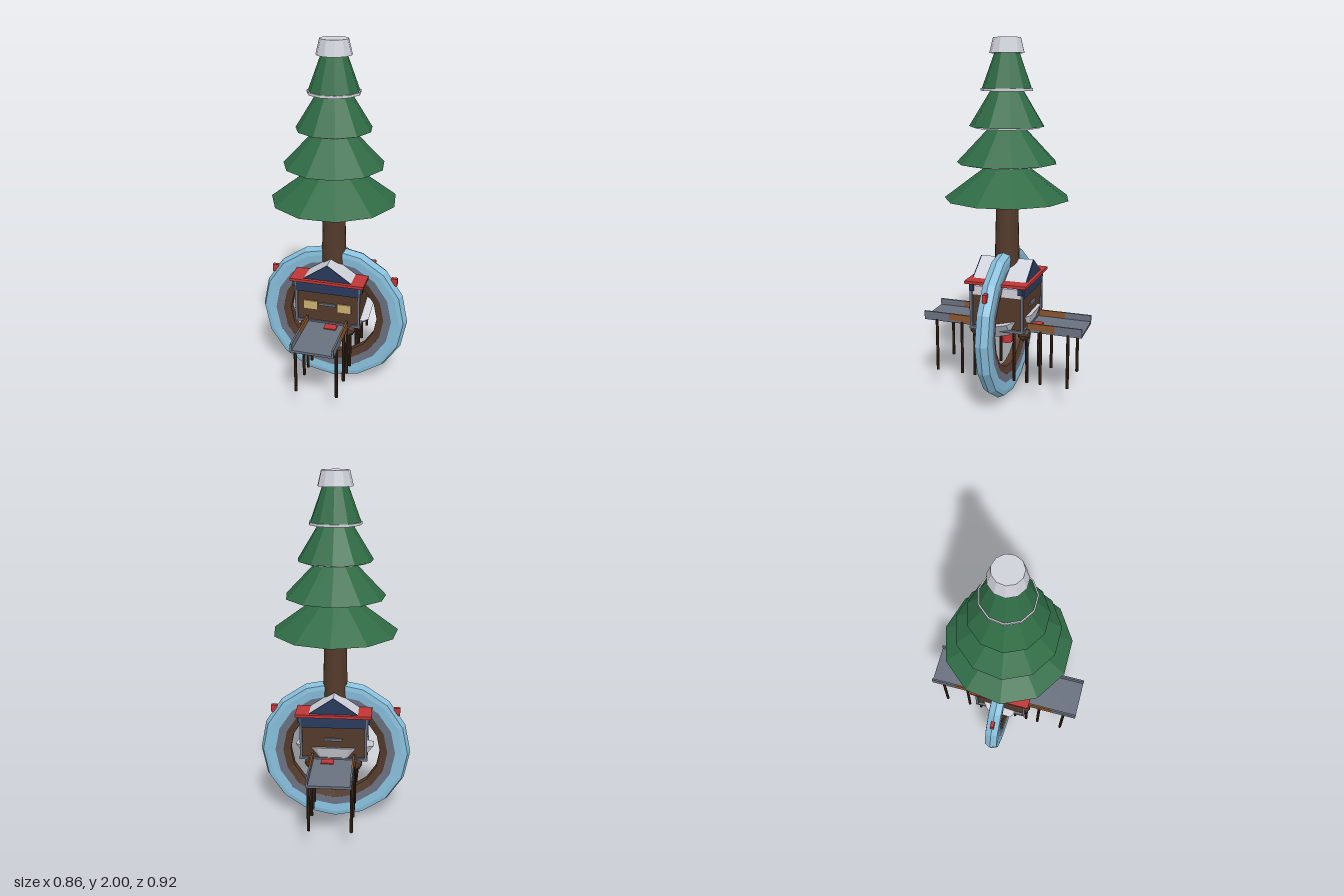
import * as THREE from 'three';

const COLORS = {
  leafGreen: 0x2f6b45, snowWhite: 0xd0d2da, barkBrown: 0x53392a, iceBlue: 0x87bedb, slate: 0x69707f,
  red: 0xc03636, navy: 0x293a5c, windowTan: 0xcdb070, plankBrown: 0x885630, darkBrown: 0x3f2b1e,
};

export function createModel() {
  const root = new THREE.Group();
  const mats = {};
  for (const [name, color] of Object.entries(COLORS)) {
    mats[name] = new THREE.MeshStandardMaterial({ color, flatShading: true });
    mats[name].name = name;
  }
  const add = (name, geo, mat, x = 0, y = 0, z = 0) => {
    const mesh = new THREE.Mesh(geo, mats[mat]);
    mesh.name = name;
    mesh.position.set(x, y, z);
    root.add(mesh);
    return mesh;
  };
  const box = (name, mat, w, h, d, x, y, z) => add(name, new THREE.BoxGeometry(w, h, d), mat, x, y, z);
  // Upright tapered cylinder between two heights
  const cone = (name, mat, rBottom, rTop, y0, y1, sides = 11, x = 0, z = 0) =>
    add(name, new THREE.CylinderGeometry(rTop, rBottom, y1 - y0, sides, 1, false, Math.PI), mat, x, (y0 + y1) / 2, z);

  // Tree: trunk, four foliage tiers, snow layers and cap
  cone('trunk', 'barkBrown', 0.07, 0.06, 0.76, 1.16, 20);
  const tiers = [[0.345, 0.085, 1.15, 1.345], [0.275, 0.09, 1.345, 1.54], [0.205, 0.085, 1.54, 1.735], [0.135, 0.065, 1.74, 1.93]];
  tiers.forEach(([r0, r1, y0, y1]) => cone('foliageTier', 'leafGreen', r0, r1, y0, y1));
  [[0.235, 1.34], [0.18, 1.535], [0.142, 1.73]].forEach(([r, y]) => cone('snowLayer', 'snowWhite', r, r, y - 0.004, y + 0.01));
  cone('snowCap', 'snowWhite', 0.095, 0.075, 1.92, 2);

  // Hanging lamps beneath the foliage
  for (const s of [-1, 1]) {
    box('lampArm', 'snowWhite', 0.07, 0.012, 0.016, s * 0.09, 1.138, 0);
    add('lamp', new THREE.SphereGeometry(0.018, 8, 6), 'navy', s * 0.1, 1.118, 0);
  }

  // Upright ring: three nested bands, each a closed cross-section of radius and depth
  const band = (name, mat, pts) => {
    const profile = [...pts, pts[0]].map(([r, d]) => new THREE.Vector2(r, d));
    add(name, new THREE.LatheGeometry(profile, 16), mat, 0, 0.435, 0).rotation.x = Math.PI / 2;
  };
  band('ringOuterBand', 'iceBlue', [[0.345, -0.036], [0.39, -0.04], [0.415, -0.036], [0.432, 0], [0.415, 0.036], [0.39, 0.04], [0.345, 0.036]]);
  band('ringMiddleBand', 'slate', [[0.3, -0.033], [0.346, -0.036], [0.346, 0.036], [0.3, 0.033]]);
  band('ringInnerBand', 'barkBrown', [[0.258, -0.02], [0.301, -0.033], [0.301, 0.033], [0.258, 0.02]]);
  for (const s of [-1, 1]) {
    box('ringClamp', 'red', 0.035, 0.045, 0.02, s * 0.35, 0.68, 0);
  }

  // House body with base beam and corner posts
  box('houseWalls', 'barkBrown', 0.35, 0.19, 0.29, 0, 0.545, 0);
  box('baseBeam', 'slate', 0.38, 0.015, 0.31, 0, 0.447, 0);
  for (const x of [-1, 1]) for (const z of [-1, 1]) {
    box('cornerPost', 'slate', 0.014, 0.255, 0.014, x * 0.18, 0.575, z * 0.147);
    box('eaveBracket', 'navy', 0.016, 0.04, 0.025, x * 0.192, 0.68, z * 0.14);
  }

  // Roof with coloured gable ends and a flat eave slab
  const gable = new THREE.Shape([[-0.18, 0.635], [0.18, 0.635], [0.18, 0.685], [0, 0.81], [-0.18, 0.685]]
    .map(([x, y]) => new THREE.Vector2(x, y)));
  const extrude = depth => new THREE.ExtrudeGeometry(gable, { depth, bevelEnabled: false });
  add('roof', extrude(0.3), 'snowWhite', 0, 0, -0.15);
  add('frontGable', extrude(0.006), 'navy', 0, 0, 0.15);
  add('backGable', extrude(0.006), 'navy', 0, 0, -0.156);
  box('eaveSlab', 'red', 0.42, 0.016, 0.35, 0, 0.708, 0);

  // Front windows and a sign bar on both ends
  for (const s of [-1, 1]) {
    box('window', 'windowTan', 0.075, 0.05, 0.008, s * 0.098, 0.55, 0.147);
    box('wallBar', 'slate', 0.1, 0.014, 0.012, 0, 0.563, s * 0.149);
  }

  // Tilted snow base under the house with earth clumps
  const base = new THREE.CylinderGeometry(0.205, 0.15, 0.075, 8, 1, false, Math.PI / 8);
  base.scale(1.17, 1, 0.93);
  add('snowBase', base, 'snowWhite', 0, 0.44, -0.01).rotation.x = 0.25;
  for (const x of [-1, 1]) for (const z of [-1, 1]) {
    add('earthClump', new THREE.IcosahedronGeometry(0.042, 0), 'barkBrown', x * 0.125, 0.42, z * 0.14);
  }
  cone('lowerHatch', 'red', 0.03, 0.03, 0.31, 0.38, 12);

  // Two decks with low sides, raised on stilts
  for (const s of [-1, 1]) {
    box('deckFloor', 'slate', 0.24, 0.014, 0.31, 0, 0.438, s * 0.307);
    box('doorMat', 'red', 0.07, 0.006, 0.05, 0.03, 0.448, s * 0.19);
    for (const x of [-1, 1]) {
      box('deckInnerSide', 'plankBrown', 0.01, 0.05, 0.155, x * 0.115, 0.456, s * 0.233);
      box('deckOuterSide', 'slate', 0.01, 0.05, 0.152, x * 0.115, 0.456, s * 0.386);
      for (const z of [0.08, 0.155, 0.232, 0.386]) {
        cone('stilt', 'darkBrown', 0.009, 0.009, 0.13, 0.44, 8, x * 0.116, s * z);
      }
    }
  }
  return root;
}
